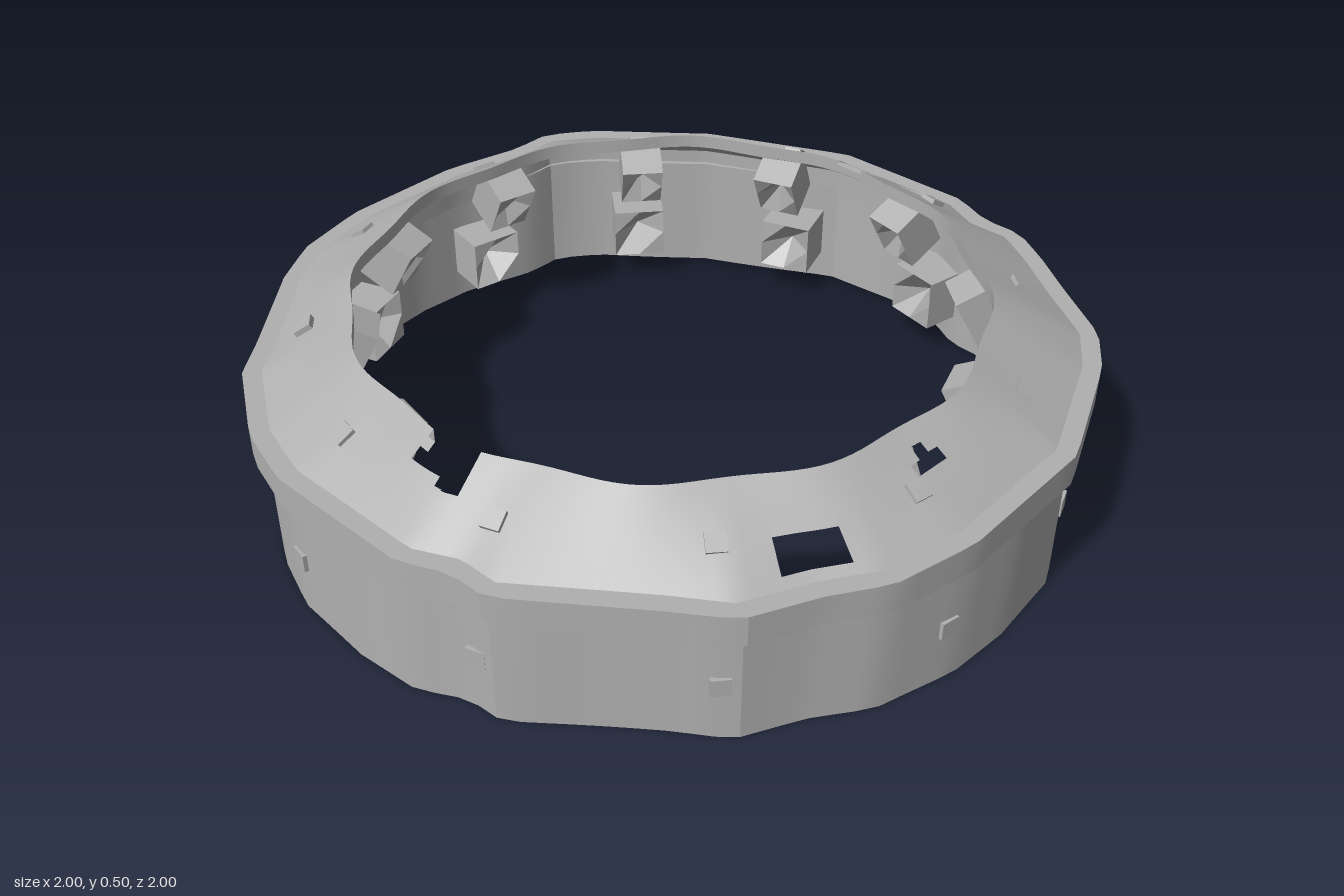
import * as THREE from 'three';
import { toCreasedNormals } from 'three/addons/utils/BufferGeometryUtils.js';

// Faceted plan outline of the rim, as [x, z]
const OUTLINE = [
  [-0.22, 1], [0.17, 1], [0.28, 0.95], [0.38, 0.95], [0.45, 0.9], [0.67, 0.74], [0.79, 0.66],
  [0.87, 0.5], [0.95, 0.38], [1, 0.17], [1, -0.22], [0.87, -0.55], [0.79, -0.67], [0.62, -0.79],
  [0.5, -0.88], [0.39, -0.95], [0.28, -0.95], [0.17, -1], [-0.22, -1], [-0.6, -0.83],
  [-0.87, -0.61], [-0.95, -0.5], [-0.95, -0.38], [-1, -0.17], [-1, 0.17], [-0.95, 0.37],
  [-0.87, 0.5], [-0.67, 0.73], [-0.6, 0.82], [-0.39, 0.95],
];

// Broken openings in the sloped top, as [x, z] polygons
const GAPS = [
  [[0.04, 0.7], [0, 0.83], [0.16, 0.84], [0.18, 0.7]],
  [[0.75, 0.08], [0.83, 0], [0.84, 0.16]],
  [[0.79, 0.34], [0.87, 0.37], [0.79, 0.53], [0.71, 0.46]],
  [[-0.1, -0.74], [0, -0.88], [0, -0.74]],
  [[0.08, -0.96], [0.16, -0.85], [0.03, -0.88]],
];

// Distance from the axis to the outline at an angle
function outlineRadius(a) {
  const dx = Math.sin(a), dz = Math.cos(a);
  for (let i = 0; i < OUTLINE.length; i++) {
    const [px, pz] = OUTLINE[i], [qx, qz] = OUTLINE[(i + 1) % OUTLINE.length];
    const before = px * dz - pz * dx, after = qx * dz - qz * dx;
    if (before <= 1e-9 && after > 1e-9 && px * dx + pz * dz > 0) {
      const t = before / (before - after);
      return Math.hypot(px + (qx - px) * t, pz + (qz - pz) * t);
    }
  }
  return 1;
}

function inside(poly, x, z) {
  let hit = false;
  poly.forEach(([ax, az], i) => {
    const [bx, bz] = poly[(i + 1) % poly.length];
    if ((az > z) !== (bz > z) && x < ax + ((bx - ax) * (z - az)) / (bz - az)) hit = !hit;
  });
  return hit;
}

// Sweeps a closed [r, y] section (counter-clockwise, r to the right) around the axis
function sweep(section, steps, skip = () => false) {
  const pos = [];
  const at = (i) => {
    const a = ((i % steps) / steps) * Math.PI * 2;
    return section(a).map(([r, y]) => new THREE.Vector3(Math.sin(a) * r, y, Math.cos(a) * r));
  };
  for (let i = 0; i < steps; i++) {
    const s = at(i), t = at(i + 1);
    for (let j = 0; j < s.length; j++) {
      const k = (j + 1) % s.length;
      const mid = s[j].clone().add(t[k]).multiplyScalar(0.5);
      if (skip(mid.x, mid.z)) continue;
      for (const v of [s[j], t[j], t[k], s[j], t[k], s[k]]) pos.push(v.x, v.y, v.z);
    }
  }
  const geo = new THREE.BufferGeometry();
  geo.setAttribute('position', new THREE.Float32BufferAttribute(pos, 3));
  return toCreasedNormals(geo, 0.35);
}

// Box whose front face is pushed in to a point
function dentedBox(w, h, d, dent) {
  const geo = new THREE.BoxGeometry(w, h, d, 2, 2, 1).toNonIndexed();
  const p = geo.attributes.position;
  for (let i = 0; i < p.count; i++) {
    if (p.getZ(i) > 0 && Math.hypot(p.getX(i), p.getY(i)) < 1e-4) p.setZ(i, d / 2 - dent);
  }
  geo.computeVertexNormals();
  return geo;
}

export function createModel() {
  const model = new THREE.Group();
  model.name = 'ring';
  const grey = new THREE.MeshStandardMaterial({ color: 0xb0b0b0, side: THREE.DoubleSide });
  grey.name = 'grey';
  const add = (parent, name, geo) => {
    const mesh = new THREE.Mesh(geo, grey);
    mesh.name = name;
    parent.add(mesh);
    return mesh;
  };

  // Thin lower wall, flush with the rim on the axes and set in between them
  add(model, 'lowerWall', sweep((a) => {
    const r = outlineRadius(a) - 0.04 * Math.abs(Math.sin(2 * a));
    return [[r - 0.045, 0], [r, 0], [r, 0.32], [r - 0.045, 0.32]];
  }, 120));

  // Overhanging rim band
  add(model, 'rimBand', sweep((a) => {
    const r = outlineRadius(a);
    return [[r - 0.07, 0.3], [r, 0.3], [r, 0.377], [r - 0.07, 0.377]];
  }, 120));

  // Sloped top with its broken openings
  const rows = 9;
  add(model, 'slopedTop', sweep((a) => {
    const inner = 0.757 + 0.01 * Math.sin(12 * a), outer = outlineRadius(a) - 0.045;
    const top = [], under = [];
    for (let i = 0; i <= rows; i++) {
      const t = i / rows, r = inner + (outer - inner) * t, y = 0.5 - 0.123 * t;
      under.push([r, y - 0.035]);
      top.unshift([r, y]);
    }
    return [...under, ...top];
  }, 180, (x, z) => GAPS.some((g) => inside(g, x, z))));

  // Twelve pairs of bolts: one through the wall, one through the slope
  const wallNut = dentedBox(0.14, 0.14, 0.13, 0.07);
  const slopeNut = dentedBox(0.11, 0.14, 0.11, 0.05);
  const tip = new THREE.BoxGeometry(0.045, 0.045, 0.05);
  for (let i = 0; i < 12; i++) {
    const a = THREE.MathUtils.degToRad(18.5 + 30 * i);
    const bolts = new THREE.Group();
    bolts.name = 'boltPair';
    bolts.rotation.y = a;
    model.add(bolts);
    const wall = outlineRadius(a) - 0.04 * Math.abs(Math.sin(2 * a));

    const nut = add(bolts, 'wallNut', wallNut);
    nut.position.set(0, 0.15, wall - 0.1);
    nut.rotation.y = Math.PI;
    add(bolts, 'wallBoltTip', tip).position.set(0, 0.15, wall - 0.018);

    const hanger = add(bolts, 'slopeNut', slopeNut);
    hanger.position.set(0, 0.385, 0.775);
    hanger.rotation.set(-0.5, Math.PI, 0);
    const stud = add(bolts, 'slopeBoltTip', tip);
    stud.position.set(0, 0.42, 0.86);
    stud.rotation.x = -1.03;
  }
  return model;
}
